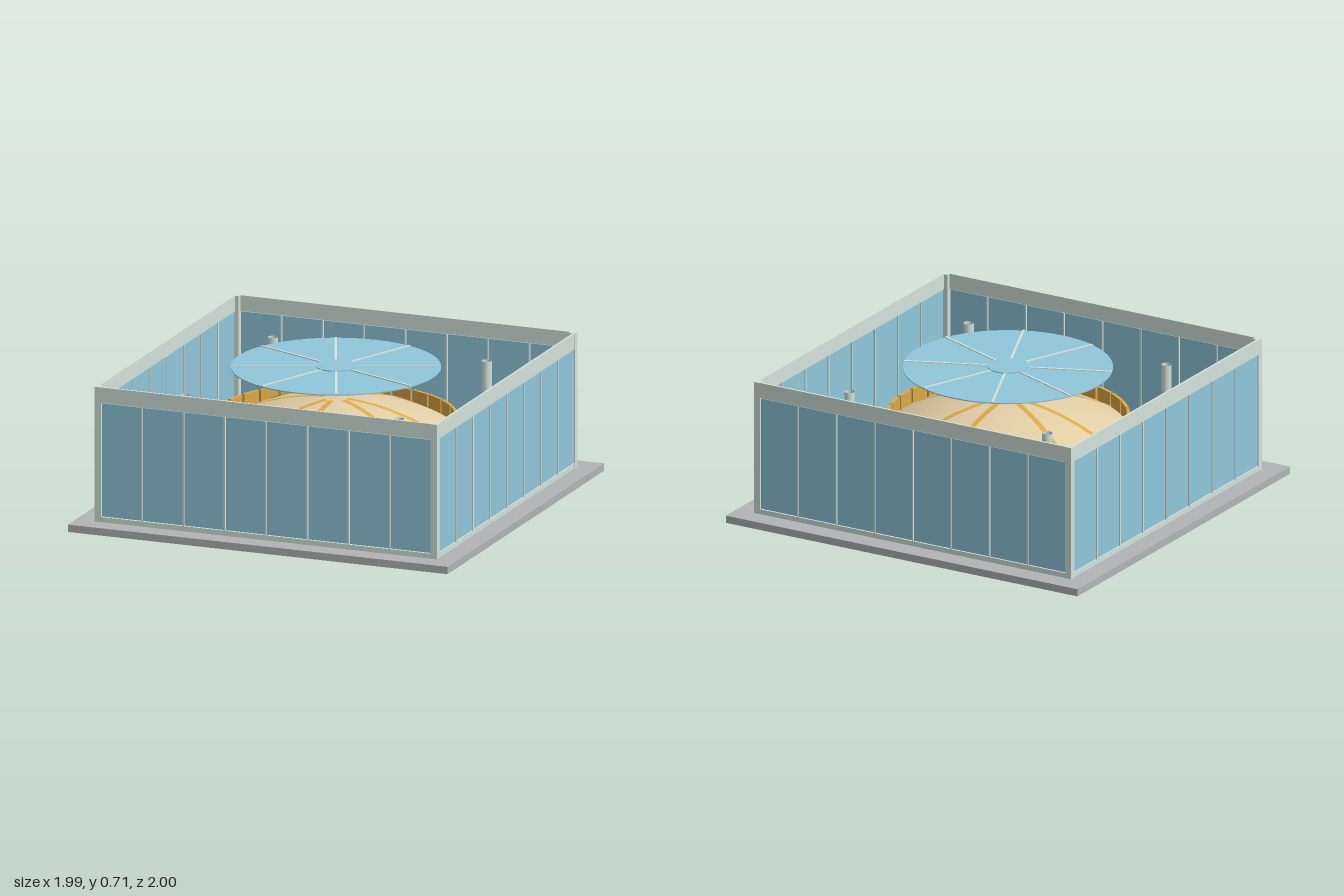
import * as THREE from 'three';

const mat = (name, color, side = THREE.FrontSide) => {
  const m = new THREE.MeshStandardMaterial({ color, side });
  m.name = name;
  return m;
};

export function createModel() {
  const stone = mat('grey stone', 0xb2b4b5);
  const frame = mat('pale frame', 0xd3e3db, THREE.DoubleSide);
  const glass = mat('blue glass', 0x90c7db);
  const gold = mat('gold', 0xdcaa48, THREE.DoubleSide);
  const sand = mat('sand', 0xe2cda4, THREE.DoubleSide);

  const model = new THREE.Group();
  model.name = 'glassPavilion';

  const add = (parent, name, geometry, material, x = 0, y = 0, z = 0) => {
    const m = new THREE.Mesh(geometry, material);
    m.name = name;
    m.position.set(x, y, z);
    parent.add(m);
    return m;
  };
  const box = (parent, name, material, w, h, d, x, y, z) =>
    add(parent, name, new THREE.BoxGeometry(w, h, d), material, x, y, z);
  const group = (parent, name, angle = 0) => {
    const g = new THREE.Group();
    g.name = name;
    g.rotation.y = angle;
    parent.add(g);
    return g;
  };

  // Ground slab
  const floor = 0.037;
  box(model, 'baseSlab', stone, 1.99, floor, 2, 0, floor / 2, 0);

  // Four glazed walls, each with eight panes set with a fine gap between mullions and rails
  const wallTop = 0.715, paneLow = 0.062, paneHigh = 0.637, pitch = 0.2165, wallZ = 0.89;
  const paneMid = (paneLow + paneHigh) / 2, paneH = paneHigh - paneLow;
  for (let s = 0; s < 4; s++) {
    const wall = group(model, 'wall', s * Math.PI / 2);
    box(wall, 'topRail', frame, 1.77, wallTop - paneHigh, 0.012, 0, (wallTop + paneHigh) / 2, wallZ);
    box(wall, 'bottomRail', frame, 1.77, paneLow - floor, 0.012, 0, (paneLow + floor) / 2, wallZ);
    box(wall, 'cornerPost', frame, 0.034, wallTop - floor, 0.034, 0.881, (wallTop + floor) / 2, 0.881);
    for (let i = 0; i < 8; i++)
      box(wall, 'glassPane', glass, pitch - 0.011, paneH - 0.006, 0.006, (i - 3.5) * pitch, paneMid, wallZ);
    for (let i = -3; i <= 3; i++)
      box(wall, 'mullion', frame, 0.007, paneH, 0.016, i * pitch, paneMid, wallZ);
  }

  // Free-standing open tubes around the hall
  const tube = new THREE.CylinderGeometry(0.025, 0.025, 0.585, 16, 1, true);
  for (const x of [-0.56, 0.56])
    for (const z of [-0.56, 0.56])
      add(model, 'column', tube, frame, x, floor + 0.2925, z);

  // Round drum with a shallow spherical cap
  const domeBase = 0.365, domeR = 0.577, domeH = 0.155;
  const capR = (domeR ** 2 + domeH ** 2) / (2 * domeH), capAngle = Math.asin(domeR / capR);
  const capY = domeBase + domeH - capR;
  add(model, 'drum', new THREE.CylinderGeometry(domeR, domeR, domeBase - floor, 64, 1, true), sand,
    0, (domeBase + floor) / 2, 0);
  add(model, 'dome', new THREE.SphereGeometry(capR, 64, 16, 0, Math.PI * 2, 0, capAngle), sand, 0, capY, 0);

  // Gold panels standing around the drum, rising past the dome edge
  const panelCount = 32, panelTop = 0.435;
  const panelW = 2 * Math.PI * 0.585 / panelCount * 0.88;
  for (let i = 0; i < panelCount; i++) {
    const holder = group(model, 'drumPanel', i * 2 * Math.PI / panelCount);
    box(holder, 'goldPanel', gold, panelW, panelTop - floor, 0.016, 0, (panelTop + floor) / 2, 0.584);
  }

  // Gold ribs: flat bands that follow the dome curve
  const ribGeometry = new THREE.PlaneGeometry(0.028, 1, 1, 16);
  const p = ribGeometry.attributes.position;
  for (let i = 0; i < p.count; i++) {
    const a = capAngle * (0.55 - p.getY(i) * 0.9);
    p.setXYZ(i, p.getX(i), capY + (capR + 0.005) * Math.cos(a), (capR + 0.005) * Math.sin(a));
  }
  ribGeometry.computeVertexNormals();
  for (let quarter = 0; quarter < 4; quarter++)
    for (const step of [0, 60])
      add(model, 'domeRib', ribGeometry, gold).rotation.y = quarter * Math.PI / 2 + THREE.MathUtils.degToRad(step);

  // Thin glass canopy disc with a raised hub and radial bars
  const canopy = group(model, 'canopy');
  add(canopy, 'canopyDisc', new THREE.CylinderGeometry(0.51, 0.51, 0.005, 64), glass, 0, 0.678, 0);
  add(canopy, 'canopyHub', new THREE.CylinderGeometry(0.1, 0.1, 0.012, 32), glass, 0, 0.679, 0);
  for (let i = 0; i < 8; i++) {
    const spoke = group(canopy, 'canopySpoke', (i + 0.5) * Math.PI / 4);
    box(spoke, 'canopyBar', frame, 0.012, 0.012, 0.405, 0, 0.679, 0.3065);
  }

  return model;
}
